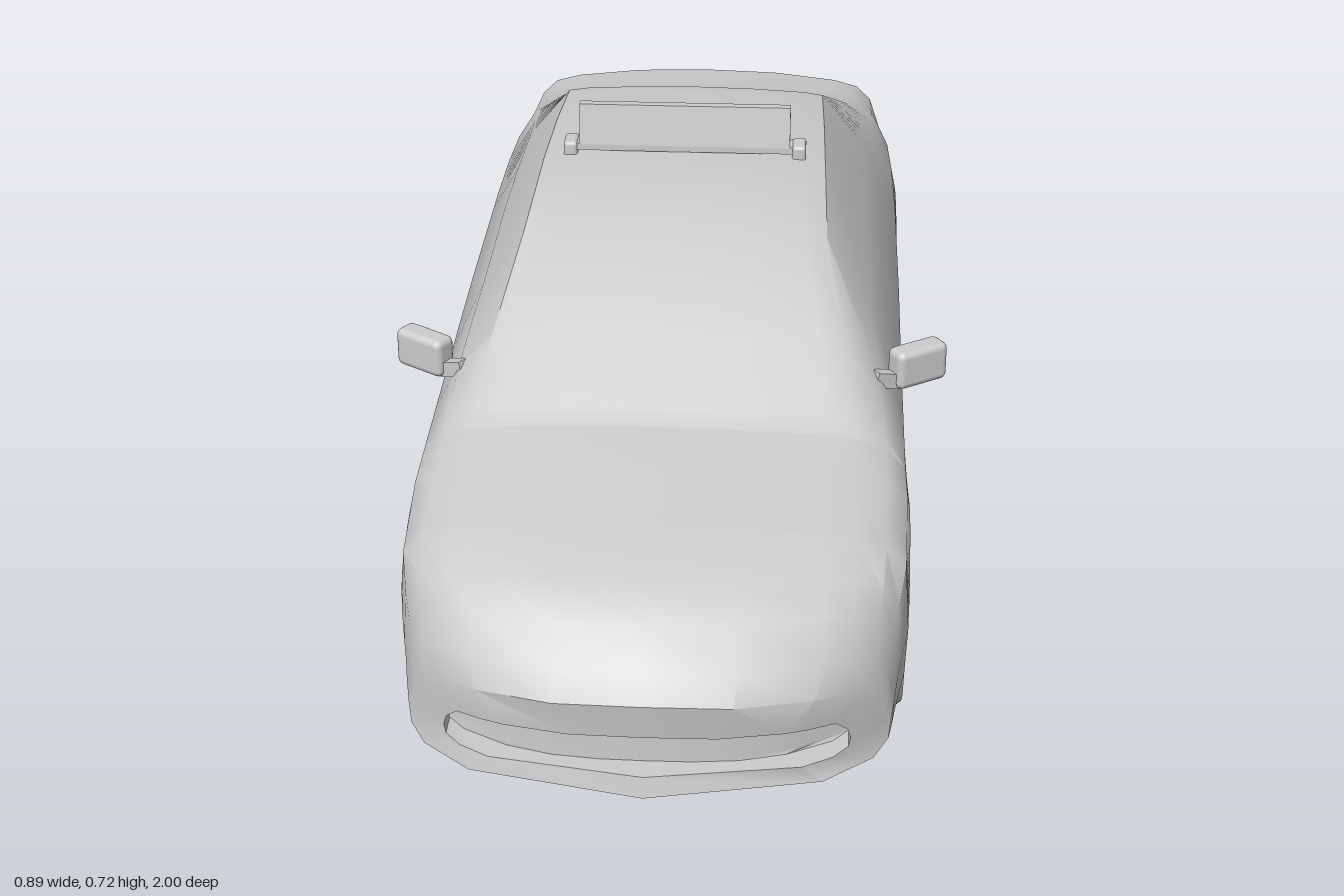
import * as THREE from 'three';
import { toCreasedNormals } from 'three/addons/utils/BufferGeometryUtils.js';
import { RoundedBoxGeometry } from 'three/addons/geometries/RoundedBoxGeometry.js';

const grey = new THREE.MeshStandardMaterial({ color: 0xcccccc });
const AXLES = [0.58, -0.575];
const ARCH_R = 0.16, WHEEL_R = 0.145, HUB_Y = 0.147;

function add(parent, name, geometry, x = 0, y = 0, z = 0) {
  const mesh = new THREE.Mesh(geometry, grey);
  mesh.name = name;
  mesh.position.set(x, y, z);
  parent.add(mesh);
  return mesh;
}

// Body stations, front to back:
// z, plan bow, half width, floor y, belt x, belt y, roof edge x, roof edge y, centre y
const NOSE = [
  [0.95, 0.17, 0.30, 0.125, 0.295, 0.165, 0.24, 0.188, 0.195],
  [0.99, 0.17, 0.30, 0.125, 0.295, 0.165, 0.24, 0.188, 0.195],
  [1.0, 0.17, 0.36, 0.095, 0.345, 0.19, 0.29, 0.235, 0.255],
];
const MAIN = [
  [0.975, 0.16, 0.365, 0.095, 0.35, 0.23, 0.30, 0.275, 0.295],
  [0.925, 0.13, 0.37, 0.095, 0.36, 0.27, 0.30, 0.325, 0.347],
  [0.85, 0.07, 0.375, 0.095, 0.368, 0.30, 0.30, 0.355, 0.373],
  [0.745, 0.01, 0.385, 0.095, 0.378, 0.335, 0.30, 0.382, 0.40],
  [0.58, 0, 0.387, 0.095, 0.382, 0.365, 0.30, 0.41, 0.427],
  [0.51, 0, 0.385, 0.095, 0.38, 0.375, 0.30, 0.425, 0.437],
  [0.36, 0, 0.385, 0.095, 0.38, 0.38, 0.285, 0.51, 0.525],
  [0.18, 0, 0.385, 0.095, 0.38, 0.385, 0.25, 0.615, 0.632],
  [-0.1, 0, 0.387, 0.095, 0.382, 0.385, 0.245, 0.63, 0.643],
  [-0.3, 0, 0.387, 0.095, 0.382, 0.385, 0.242, 0.622, 0.636],
  [-0.48, 0, 0.387, 0.095, 0.382, 0.385, 0.238, 0.605, 0.617],
  [-0.64, 0, 0.387, 0.095, 0.378, 0.39, 0.26, 0.535, 0.55],
  [-0.76, 0, 0.382, 0.095, 0.372, 0.39, 0.29, 0.477, 0.49],
  [-0.86, -0.03, 0.37, 0.098, 0.36, 0.385, 0.30, 0.46, 0.475],
  [-0.965, -0.06, 0.35, 0.11, 0.345, 0.38, 0.31, 0.447, 0.465],
];
const TAIL = [
  [-0.967, -0.06, 0.355, 0.11, 0.352, 0.25, 0.325, 0.295, 0.305],
  [-0.998, -0.08, 0.35, 0.125, 0.345, 0.235, 0.31, 0.275, 0.285],
];

function stationAt(z) {
  let i = 0;
  while (i < MAIN.length - 2 && MAIN[i + 1][0] > z) i++;
  const a = MAIN[i], b = MAIN[i + 1], t = (a[0] - z) / (a[0] - b[0]);
  return a.map((v, k) => v + (b[k] - v) * t);
}

const bowed = (x, z, bow) => z - bow * Math.abs(x / 0.38) ** 3;

// Half cross-section from floor centre, round the wheel well, to roof centre
function halfSection([z, , w, yb, bx, by, ex, ey, top]) {
  const axle = AXLES.find((c) => Math.abs(z - c) <= ARCH_R + 1e-6);
  const inArch = axle !== undefined;
  const ya = inArch ? HUB_Y + Math.sqrt(Math.max(0, ARCH_R ** 2 - (z - axle) ** 2)) : yb;
  const xi = Math.min(0.26, w - 0.07);
  const side = by - ya;
  return [
    [0, yb], [xi, yb], [xi, ya],
    [w - (inArch ? 0.004 : 0.025), ya],
    [w - 0.003, ya + side * 0.2],
    [w, ya + side * 0.55],
    [bx, by],
    [bx + (ex - bx) * 0.55 + 0.012, by + (ey - by) * 0.55 + 0.006],
    [ex, ey],
    [ex * 0.85, ey + (top - ey) * 0.45],
    [ex * 0.45, ey + (top - ey) * 0.85],
    [0, top],
  ];
}

function bodyGeometry() {
  const zs = MAIN.map((s) => s[0]);
  for (const c of AXLES) {
    zs.push(c + ARCH_R + 0.001, c - ARCH_R - 0.001);
    for (let i = 0; i <= 14; i++) zs.push(c + ARCH_R * Math.cos((i / 14) * Math.PI));
  }
  zs.sort((a, b) => b - a);
  const stations = [...NOSE, ...zs.map(stationAt), ...TAIL];

  const pos = [];
  const quad = (a, b, c, d) => pos.push(...a, ...b, ...c, ...a, ...c, ...d);
  const rings = stations.map((s) => {
    const half = halfSection(s);
    const mirrored = half.slice(1, -1).reverse().map(([x, y]) => [-x, y]);
    return [...half, ...mirrored].map(([x, y]) => [x, y, bowed(x, s[0], s[1])]);
  });
  for (let j = 0; j < rings.length - 1; j++) {
    const a = rings[j], b = rings[j + 1], n = a.length;
    for (let i = 0; i < n; i++) quad(a[i], b[i], b[(i + 1) % n], a[(i + 1) % n]);
  }
  // End caps that follow the plan bow
  const cap = (s, front) => {
    const half = halfSection(s), N = 4;
    const p = (i, k) => {
      const x = (half[i][0] * k) / N;
      return [x, half[i][1], bowed(x, s[0], s[1])];
    };
    for (let i = 0; i < half.length - 1; i++) {
      for (let k = -N; k < N; k++) {
        if (front) quad(p(i, k), p(i, k + 1), p(i + 1, k + 1), p(i + 1, k));
        else quad(p(i, k), p(i + 1, k), p(i + 1, k + 1), p(i, k + 1));
      }
    }
  };
  cap(stations[0], true);
  cap(stations[stations.length - 1], false);

  const g = new THREE.BufferGeometry();
  g.setAttribute('position', new THREE.Float32BufferAttribute(pos, 3));
  return toCreasedNormals(g, 0.65);
}

// Tyre and disc turned about the axle, with a dished inner face
function wheelGeometry() {
  const R = WHEEL_R;
  const profile = [
    [0, -0.02], [R - 0.03, -0.02], [R - 0.025, -0.057], [R - 0.012, -0.057], [R, -0.04],
    [R, 0.04], [R - 0.012, 0.056], [R - 0.03, 0.057], [0, 0.057],
  ].map(([r, h]) => new THREE.Vector2(r, h));
  return toCreasedNormals(new THREE.LatheGeometry(profile, 32), 0.6);
}

export function createModel() {
  const car = new THREE.Group();
  car.name = 'car';
  add(car, 'body', bodyGeometry());

  const wheel = wheelGeometry();
  for (const s of [1, -1]) {
    const side = s > 0 ? 'left' : 'right';
    AXLES.forEach((z, i) => {
      const name = side + (i ? 'RearWheel' : 'FrontWheel');
      add(car, name, wheel, s * 0.327, HUB_Y, z).rotation.z = -s * Math.PI / 2;
    });

    // Sill between the wheels
    add(car, side + 'Sill', new THREE.BoxGeometry(0.1, 0.03, 0.825), s * 0.315, 0.09, 0.003);

    // Door mirror, swept back
    const mirror = new THREE.Group();
    mirror.name = side + 'Mirror';
    mirror.position.set(s * 0.4, 0.463, 0.32);
    mirror.rotation.y = s * 0.58;
    add(mirror, 'mirrorHousing', new RoundedBoxGeometry(0.095, 0.066, 0.042, 2, 0.012));
    add(mirror, 'mirrorArm', new THREE.BoxGeometry(0.05, 0.025, 0.02), -s * 0.06, -0.014, 0)
      .rotation.z = -s * 0.3;
    car.add(mirror);
  }

  // Roof sign: bar, end clamps and tapered panel
  const sign = new THREE.Group();
  sign.name = 'roofSign';
  sign.position.z = -0.12;
  add(sign, 'signBar', new THREE.BoxGeometry(0.4, 0.012, 0.04), 0, 0.65, 0);
  for (const s of [1, -1]) {
    add(sign, 'signClamp', new RoundedBoxGeometry(0.024, 0.034, 0.048, 2, 0.006), s * 0.199, 0.642, 0);
  }
  const wedge = new THREE.Shape([[-0.021, 0], [0.021, 0], [0.008, 0.07], [-0.008, 0.07]]
    .map(([x, y]) => new THREE.Vector2(x, y)));
  const panel = new THREE.ExtrudeGeometry(wedge, { depth: 0.366, bevelEnabled: false });
  panel.translate(0, 0, -0.183).rotateY(Math.PI / 2);
  add(sign, 'signPanel', panel, 0, 0.655, 0);
  car.add(sign);

  // Exhaust: oval silencer with twin tailpipes
  const silencer = new THREE.CylinderGeometry(0.055, 0.055, 0.11, 20).rotateX(Math.PI / 2);
  silencer.scale(1, 0.55, 1);
  add(car, 'silencer', silencer, 0.165, 0.092, -0.898);
  const pipe = new THREE.CylinderGeometry(0.014, 0.014, 0.07, 14).rotateX(Math.PI / 2);
  for (const x of [0.145, 0.185]) add(car, 'tailpipe', pipe, x, 0.107, -0.965);

  return car;
}
